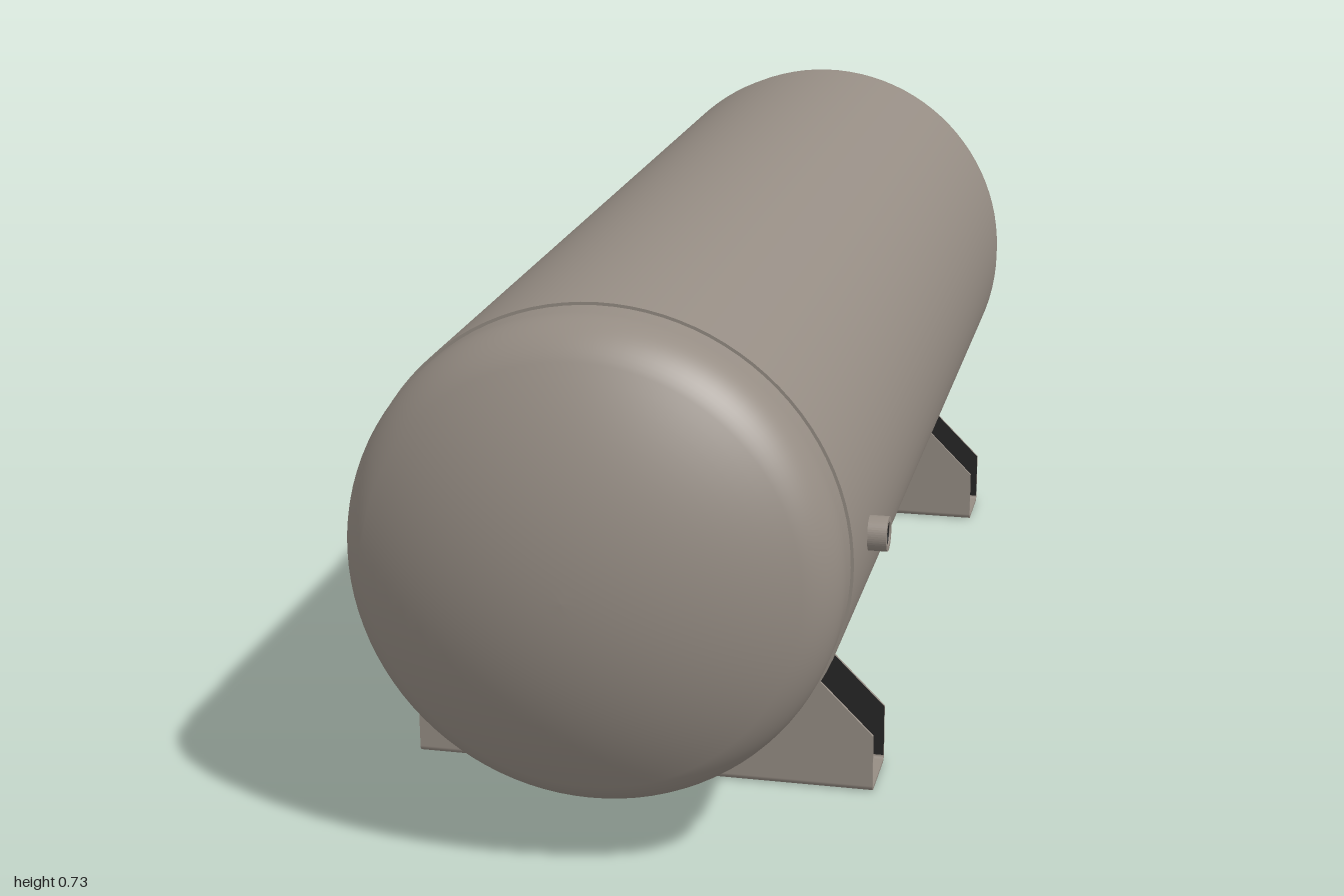
import * as THREE from 'three';

const CX = -0.0125, CY = 0.405, R = 0.325; // tank axis and radius

export function createModel() {
  const root = new THREE.Group();
  root.name = 'horizontalTank';
  const paint = new THREE.MeshStandardMaterial({ color: 0x968d84 });
  paint.name = 'warmGreyPaint';
  const dark = new THREE.MeshStandardMaterial({ color: 0x262626 });
  dark.name = 'darkInterior';

  const add = (parent, name, geo, mat) => {
    const mesh = new THREE.Mesh(geo, mat);
    mesh.name = name;
    parent.add(mesh);
    return mesh;
  };

  // Cylindrical shell, slightly proud of the dished heads
  const shell = add(root, 'shell', new THREE.CylinderGeometry(R, R, 1.616, 96).rotateX(Math.PI / 2), paint);
  shell.position.set(CX, CY, 0.001);

  // Dished heads: straight skirt, tight knuckle, shallow crown
  const a = 0.321, knuckle = 0.09, crown = 0.52;
  const centre = Math.sqrt((crown - knuckle) ** 2 - (a - knuckle) ** 2);
  const zk = 1 - crown + centre;
  const turn = Math.atan2(centre, a - knuckle);
  const profile = [new THREE.Vector2(a, 0.79)];
  for (let i = 0; i <= 12; i++) {
    const t = (turn * i) / 12;
    profile.push(new THREE.Vector2(a - knuckle + knuckle * Math.cos(t), zk + knuckle * Math.sin(t)));
  }
  for (let i = 1; i <= 14; i++) {
    const t = turn + ((Math.PI / 2 - turn) * i) / 14;
    profile.push(new THREE.Vector2(Math.max(0, crown * Math.cos(t)), 1 - crown + crown * Math.sin(t)));
  }
  for (const s of [1, -1]) {
    const head = add(root, s > 0 ? 'frontHead' : 'backHead',
      new THREE.LatheGeometry(profile, 96).rotateX((s * Math.PI) / 2), paint);
    head.position.set(CX, CY, 0);
  }

  // Pipe fitting along +y, with an open dark bore
  const fitting = (name, outer, inner, length) => {
    const g = new THREE.Group();
    g.name = name;
    const ring = new THREE.Shape().absarc(0, 0, outer, 0, Math.PI * 2);
    ring.holes.push(new THREE.Path().absarc(0, 0, inner, 0, Math.PI * 2, true));
    add(g, name + 'Collar', new THREE.ExtrudeGeometry(ring,
      { depth: length, bevelEnabled: false, curveSegments: 24 }).rotateX(-Math.PI / 2), paint);
    const bore = new THREE.CylinderGeometry(inner - 0.0005, inner - 0.0005, length * 0.95, 24, 1, true);
    const liner = add(g, name + 'Bore', bore.scale(-1, 1, 1), dark);
    liner.position.y = length * 0.475;
    const base = add(g, name + 'BoreEnd', new THREE.CircleGeometry(inner, 24).rotateX(-Math.PI / 2), dark);
    base.position.y = length * 0.45;
    root.add(g);
    return g;
  };
  const port = fitting('sidePort', 0.023, 0.016, 0.037);
  port.position.set(0.3, CY, 0.68);
  port.rotation.z = -Math.PI / 2;
  const drain = fitting('bottomDrain', 0.013, 0.006, 0.035);
  drain.position.set(CX, 0.065 + 0.035, -0.74);
  drain.rotation.x = Math.PI;

  // Saddle cheek outline with the arc that cradles the shell
  const half = 0.3225, bend = 0.009, thick = 0.004, top = 0.165, width = 0.106;
  const cheek = new THREE.Shape();
  cheek.moveTo(-half, bend);
  cheek.lineTo(half, bend);
  cheek.lineTo(half, 0.083);
  cheek.lineTo(0.241, top);
  const start = Math.asin((top - CY) / R);
  cheek.absarc(0, CY, R, start, -Math.PI - start, true);
  cheek.lineTo(-0.241, top);
  cheek.lineTo(-half, 0.083);
  cheek.closePath();

  // Floor plate with two bolt holes
  const fw = width / 2 - bend;
  const floor = new THREE.Shape();
  floor.moveTo(-half, -fw);
  floor.lineTo(half, -fw);
  floor.lineTo(half, fw);
  floor.lineTo(-half, fw);
  floor.closePath();
  for (const s of [1, -1]) floor.holes.push(new THREE.Path().absarc(s * 0.285, 0, 0.007, 0, Math.PI * 2, true));

  // Rounded bend joining floor and cheek
  const corner = new THREE.Shape();
  corner.absarc(0, 0, bend, -Math.PI / 2, 0, false);
  corner.absarc(0, 0, bend - thick, 0, -Math.PI / 2, true);

  const extrude = (shape, depth) =>
    new THREE.ExtrudeGeometry(shape, { depth, bevelEnabled: false, curveSegments: 32 });

  for (const [name, z] of [['frontSaddle', 0.553], ['backSaddle', -0.552]]) {
    const saddle = new THREE.Group();
    saddle.name = name;
    add(saddle, 'saddleFloor', extrude(floor, thick).rotateX(-Math.PI / 2), paint);
    for (const s of [1, -1]) {
      const side = new THREE.Group();
      side.name = s > 0 ? 'outerCheek' : 'innerCheek';
      side.rotation.y = s > 0 ? 0 : Math.PI;
      const plate = add(side, 'cheekPlate', extrude(cheek, thick), paint);
      plate.position.z = width / 2 - thick;
      // Dark face on the inside of the channel
      const lining = add(side, 'cheekLining', new THREE.ShapeGeometry(cheek, 32).rotateY(Math.PI), dark);
      lining.position.z = width / 2 - thick - 0.0006;
      const fold = add(side, 'cheekBend', extrude(corner, half * 2).rotateY(-Math.PI / 2), paint);
      fold.position.set(half, bend, fw);
      saddle.add(side);
    }
    saddle.position.set(CX, 0, z);
    root.add(saddle);
  }
  return root;
}
